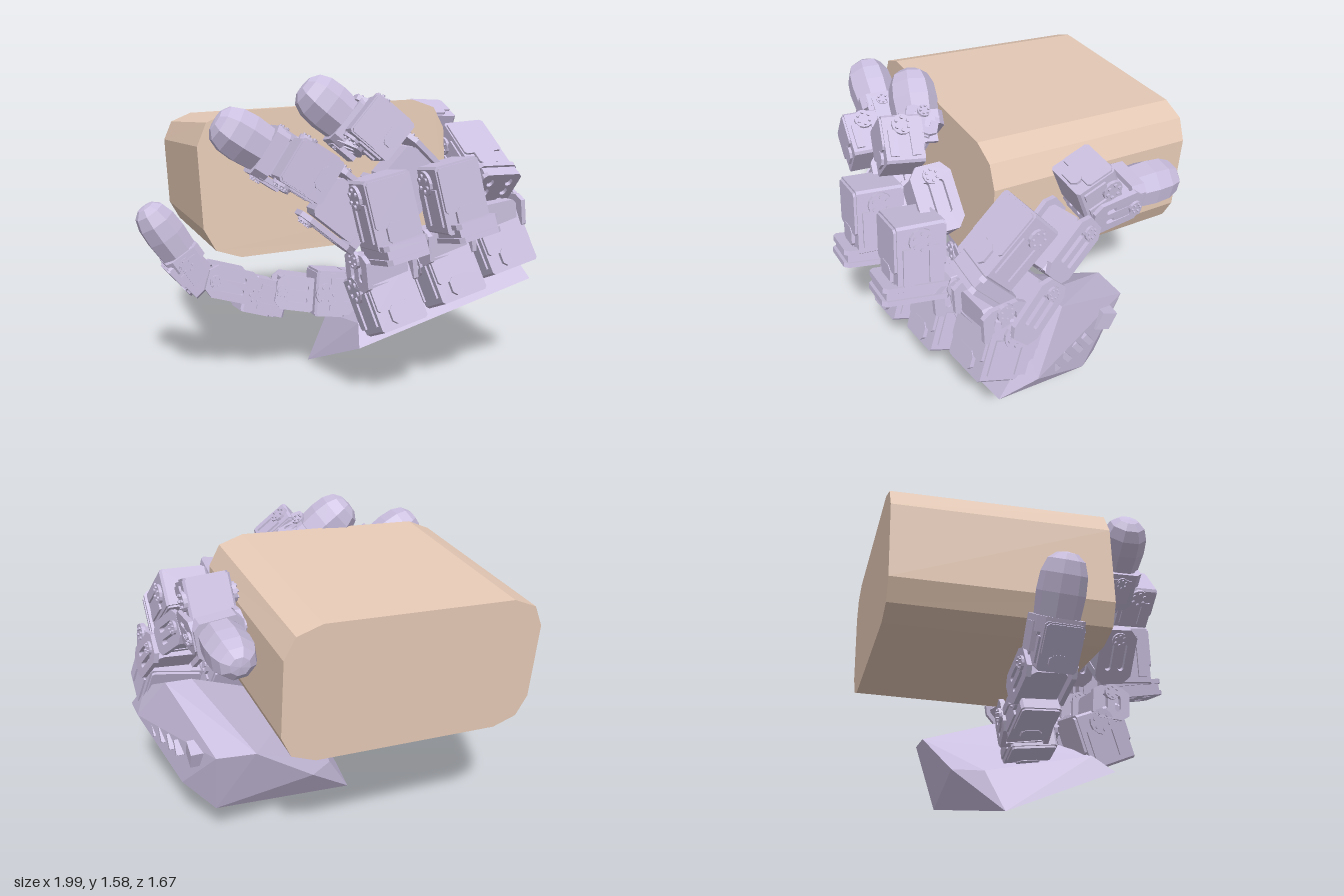
import * as THREE from 'three';
import { ConvexGeometry } from 'three/addons/geometries/ConvexGeometry.js';

const V = (p) => new THREE.Vector3(...p);
const lilac = new THREE.MeshStandardMaterial({ color: 0xcabfdf, flatShading: true });
const tan = new THREE.MeshStandardMaterial({ color: 0xe6cab6, flatShading: true });

function add(parent, name, geometry, pos = [0, 0, 0], material = lilac) {
  const mesh = new THREE.Mesh(geometry, material);
  mesh.name = name;
  mesh.position.set(...pos);
  parent.add(mesh);
  return mesh;
}

// Group whose y axis follows dir and whose x axis lies as near as possible to side
function frame(parent, name, pos, dir, side) {
  const y = V(dir).normalize();
  const x = V(side).addScaledVector(y, -V(side).dot(y)).normalize();
  const g = new THREE.Group();
  g.name = name;
  g.quaternion.setFromRotationMatrix(new THREE.Matrix4().makeBasis(x, y, x.clone().cross(y)));
  g.position.set(...pos);
  parent.add(g);
  return g;
}

// Rectangle with cut corners, optionally eased with a middle point
function cutRect(w, h, cx, cy, ease = 0) {
  const s = new THREE.Shape(), pts = [];
  [[1, -1], [1, 1], [-1, 1], [-1, -1]].forEach(([sx, sy], i) => {
    const corner = [[w / 2, h / 2 - cy], [w / 2 - cx * ease, h / 2 - cy * ease], [w / 2 - cx, h / 2]]
      .map(([x, y]) => new THREE.Vector2(sx * x, sy * y));
    if (!ease) corner.splice(1, 1);
    pts.push(...(i % 2 ? corner : corner.reverse()));
  });
  return s.setFromPoints(pts);
}

function slab(shape, depth) {
  return new THREE.ExtrudeGeometry(shape, { depth, bevelEnabled: false, curveSegments: 6 }).translate(0, 0, -depth / 2);
}

function slot(x, y, w, h) {
  const r = w / 2, p = new THREE.Path();
  p.absarc(x, y + h / 2 - r, r, 0, Math.PI);
  p.absarc(x, y - h / 2 + r, r, Math.PI, Math.PI * 2);
  return p.closePath();
}

// Hinge disc with a ring of bolts, lying on the x axis
function hinge(parent, x, y, z, r) {
  const s = Math.sign(x);
  add(parent, 'hingeDisc', new THREE.CylinderGeometry(r, r, 0.02, 14).rotateZ(Math.PI / 2), [x, y, z]);
  for (let i = 0; i < 6; i++) {
    const a = i * Math.PI / 3;
    add(parent, 'hingeBolt', new THREE.CylinderGeometry(r * 0.17, r * 0.17, 0.012, 6).rotateZ(Math.PI / 2),
      [x + s * 0.014, y + Math.cos(a) * r * 0.65, z + Math.sin(a) * r * 0.65]);
  }
}

// Motor housing: body, lid, step, raised side ribs and hinge discs
function motor(parent, name, pos, dir, side, w, h, d) {
  const g = frame(parent, name, pos, dir, side);
  add(g, 'motorBody', slab(cutRect(w, h, 0.012, 0.012), d * 0.9));
  add(g, 'motorLid', slab(cutRect(w * 0.94, h * 0.66, 0.012, 0.012), d), [0, h * 0.14, 0]);
  add(g, 'motorStep', slab(cutRect(w * 0.5, h * 0.3, 0.02, 0.02), d * 1.03), [0, -h * 0.28, 0]);
  for (const s of [-1, 1]) {
    for (const z of [-0.25, 0.25]) {
      add(g, 'sideRib', new THREE.BoxGeometry(0.02, h * 0.55, d * 0.2), [s * w / 2, -h * 0.1, d * z]);
    }
    hinge(g, s * (w / 2 + 0.005), h * 0.27, 0, Math.min(d, h) * 0.24);
  }
}

// U-shaped bracket: two slotted cheeks joined by a drilled web around a solid core
function bracket(parent, name, p, q, side, w, d) {
  const a = V(p), b = V(q), dir = b.clone().sub(a), h = dir.length();
  const g = frame(parent, name, a.add(b).multiplyScalar(0.5).toArray(), dir.toArray(), side);
  for (const s of [-1, 1]) {
    const cheek = cutRect(d, h, d * 0.2, h * 0.15);
    cheek.holes.push(slot(-d * 0.18, 0, d * 0.16, h * 0.5), slot(d * 0.18, 0, d * 0.16, h * 0.5));
    add(g, 'cheek', slab(cheek, 0.025).rotateY(Math.PI / 2), [s * w / 2, 0, 0]);
    hinge(g, s * (w / 2 + 0.015), h * 0.33, 0, d * 0.2);
  }
  const web = cutRect(w, d * 0.8, 0.02, 0.02);
  for (const x of [-1, 0, 1]) for (const y of [-1, 1]) web.holes.push(slot(x * w * 0.28, y * d * 0.2, 0.025, 0.025));
  add(g, 'web', slab(web, 0.04).rotateX(Math.PI / 2), [0, -h * 0.42, 0]);
  add(g, 'core', slab(cutRect(w * 0.8, h * 0.78, 0.02, 0.02), d * 0.75));
}

// Drilled foot plate below a motor
function footPlate(parent, pos, dir, side, w, d) {
  const g = frame(parent, 'footPlate', pos, dir, side);
  const s = cutRect(w, d, 0.02, 0.02);
  for (const x of [-1, 1]) for (const y of [-1, 0, 1]) s.holes.push(slot(x * w * 0.25, y * d * 0.27, 0.035, 0.05));
  for (const y of [-1, 1]) add(g, 'plateLayer', slab(s, 0.025).rotateX(Math.PI / 2), [0, y * 0.032, 0]);
  add(g, 'plateCore', new THREE.BoxGeometry(w * 0.9, 0.05, d * 0.9));
}

// Open square yoke and blunt domed pad at the end of a finger
function fingertip(parent, p, q, side, w) {
  const dir = V(q).sub(V(p)), h = dir.length();
  const g = frame(parent, 'fingertip', p, dir.toArray(), side);
  const profile = [[0, 0], [0.53, 0], [0.57, 0.4], [0.54, 0.68], [0.43, 0.88], [0.24, 0.98], [0, 1]]
    .map(([r, y]) => new THREE.Vector2(r * w, y * h));
  add(g, 'pad', new THREE.LatheGeometry(profile, 8).rotateY(Math.PI / 8).scale(1.04, 1, 0.98));
  const yoke = cutRect(w * 1.2, w, 0.03, 0.03);
  yoke.holes.push(new THREE.Path(cutRect(w * 0.94, w * 0.74, 0.02, 0.02).getPoints().reverse()));
  add(g, 'yoke', slab(yoke, 0.07).rotateX(Math.PI / 2), [0, -0.02, 0]);
  for (const s of [-1, 1]) add(g, 'yokeArm', new THREE.BoxGeometry(0.025, 0.13, w * 0.5), [s * w * 0.57, -0.08, 0]);
}

function makePalm(hand) {
  const palm = new THREE.Group();
  palm.name = 'palm';
  hand.add(palm);
  const corners = [[-0.09, 0, -0.1], [0.05, 0.24, -0.17], [0.2, 0.28, -0.31], [0.53, 0.55, -0.41],
    [0.73, 0.57, -0.41], [0.72, 0.2, -0.29], [0.85, 0.29, -0.13], [0.99, 0.5, 0.42], [0.99, 0.53, 0.22],
    [-0.04, 0.27, 0.51], [0, 0.36, 0.4], [0.86, 0.79, 0.03], [0.72, 0.77, 0.06], [0.93, 0.68, 0.25]];
  add(palm, 'palmShell', new ConvexGeometry(corners.map(V)));
  add(palm, 'sideKnob', new THREE.BoxGeometry(0.1, 0.1, 0.09), [0.78, 0.53, -0.26]).rotation.x = -0.4;
  for (const z of [0.1, 0.02, -0.06, -0.13]) {
    add(palm, 'sideVent', new THREE.BoxGeometry(0.04, 0.08, 0.03), [0.89 + z * 0.3, 0.5, z]).rotation.x = 0.6;
  }
}

export function createModel() {
  const root = new THREE.Group();
  root.name = 'handHoldingBlock';

  // Held block, slightly tapered towards the back and tilted
  const block = slab(cutRect(1.27, 0.68, 0.17, 0.15, 0.3), 1.06);
  const pos = block.attributes.position;
  for (let i = 0; i < pos.count; i++) {
    const t = pos.getZ(i) / 0.53;
    pos.setXY(i, pos.getX(i) * (1 + 0.02 * t), pos.getY(i) * (1 + 0.03 * t));
  }
  block.computeVertexNormals();
  add(root, 'heldBlock', block, [-0.09, 1.057, -0.298], tan).rotation.set(-0.047, 0, 0.04);

  const hand = new THREE.Group();
  hand.name = 'mechanicalHand';
  root.add(hand);
  makePalm(hand);

  // Knuckle motors standing on the palm
  const along = [0.95, 0.24, -0.08], out = [-0.22, 0.9, -0.39];
  for (const [x, y, z, w] of [[0.11, 0.5, 0.47, 0.25], [0.46, 0.59, 0.42, 0.26], [0.8, 0.69, 0.34, 0.28]]) {
    motor(hand, 'knuckleMotor', [x, y, z], out, along, w, 0.31, 0.29);
    bracket(hand, 'knuckleBracket', [x - 0.02, y + 0.08, z + 0.02], [x - 0.04, y + 0.26, z + 0.02], along, 0.25, 0.22);
  }

  // Two front fingers, curled up and across the block
  const fingers = [
    { foot: [0.07, 0.79, 0.66], low: [0.03, 0.97, 0.62], b: [[0.0, 0.86, 0.49], [-0.24, 1.06, 0.45]],
      mid: [-0.31, 1.16, 0.52], tip: [[-0.47, 1.24, 0.38], [-0.69, 1.385, 0.36]], side: [0.6, 0.78, 0] },
    { foot: [0.46, 0.85, 0.61], low: [0.41, 1.01, 0.57], b: [[0.36, 0.98, 0.41], [0.13, 1.2, 0.4]],
      mid: [0.06, 1.33, 0.47], tip: [[-0.05, 1.36, 0.33], [-0.245, 1.53, 0.28]], side: [0.69, 0.72, 0] },
  ];
  for (const f of fingers) {
    const finger = new THREE.Group();
    finger.name = 'finger';
    hand.add(finger);
    footPlate(finger, f.foot, [-0.2, 0.95, -0.2], [0.97, 0.22, 0], 0.22, 0.33);
    motor(finger, 'lowerMotor', f.low, [-0.2, 0.95, -0.12], [0.97, 0.2, 0], 0.23, 0.33, 0.25);
    bracket(finger, 'middleBracket', ...f.b, f.side, 0.27, 0.2);
    const dir = V(f.tip[1]).sub(V(f.tip[0])).toArray();
    motor(finger, 'upperMotor', f.mid, dir, f.side, 0.22, 0.23, 0.2);
    bracket(finger, 'upperBracket', [f.mid[0], f.mid[1] - 0.02, 0.4], f.tip[0], f.side, 0.22, 0.16);
    fingertip(finger, ...f.tip, f.side, 0.21);
  }

  // Side finger reaching back along the block
  const sideFinger = new THREE.Group();
  sideFinger.name = 'sideFinger';
  hand.add(sideFinger);
  const across = [1, -0.1, 0.1];
  footPlate(sideFinger, [0.75, 1.01, 0.38], [0, 0.64, -0.77], across, 0.22, 0.26);
  motor(sideFinger, 'lowerMotor', [0.71, 1.15, 0.24], [-0.1, 0.64, -0.77], across, 0.24, 0.34, 0.2);
  bracket(sideFinger, 'lowerBracket', [0.82, 0.76, 0.32], [0.76, 0.97, 0.1], across, 0.25, 0.17);
  bracket(sideFinger, 'middleBracket', [0.75, 0.98, 0.12], [0.68, 1.16, -0.13], across, 0.23, 0.17);
  motor(sideFinger, 'upperMotor', [0.67, 1.3, -0.18], [0, 0.38, -0.92], across, 0.22, 0.2, 0.2);
  bracket(sideFinger, 'upperBracket', [0.68, 1.18, -0.14], [0.67, 1.2, -0.4], across, 0.22, 0.16);
  fingertip(sideFinger, [0.67, 1.19, -0.4], [0.66, 1.17, -0.685], across, 0.19);

  // Thumb passing under the block to its far side
  const thumb = new THREE.Group();
  thumb.name = 'thumb';
  hand.add(thumb);
  const t = [0, 0.1, 1];
  motor(thumb, 'baseMotor', [0.0, 0.43, 0.04], [-0.95, 0.1, -0.1], t, 0.24, 0.24, 0.24);
  bracket(thumb, 'baseBracket', [-0.08, 0.41, -0.02], [-0.3, 0.45, -0.06], t, 0.22, 0.18);
  motor(thumb, 'lowerMotor', [-0.37, 0.42, -0.06], [-0.93, 0.3, 0], t, 0.2, 0.24, 0.19);
  bracket(thumb, 'middleBracket', [-0.42, 0.47, -0.07], [-0.68, 0.55, -0.07], t, 0.22, 0.17);
  motor(thumb, 'upperMotor', [-0.74, 0.59, -0.07], [-0.65, 0.75, 0], t, 0.19, 0.22, 0.18);
  fingertip(thumb, [-0.79, 0.68, -0.08], [-0.955, 0.935, -0.08], t, 0.19);

  return root;
}
